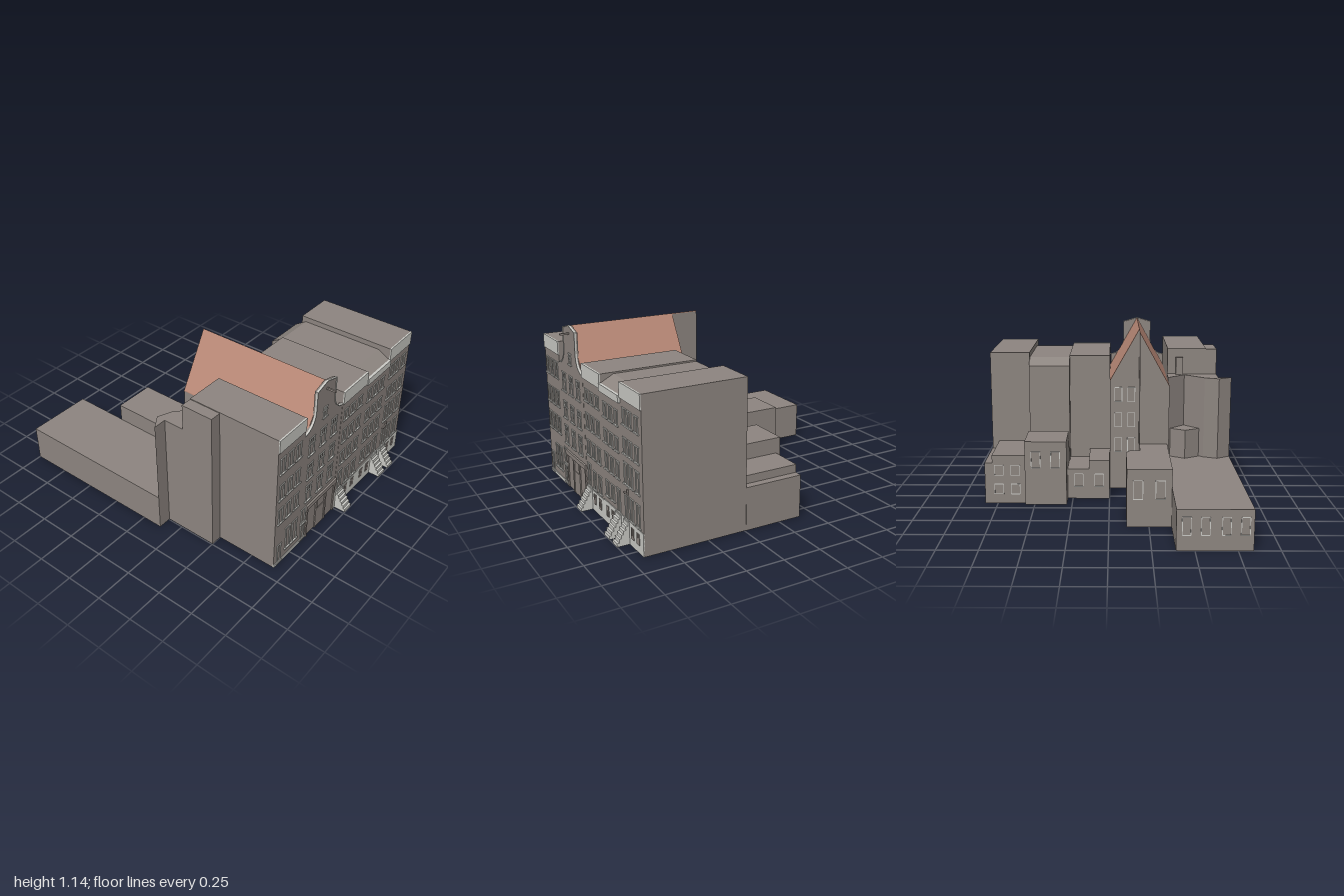
import * as THREE from 'three';

export function createModel() {
  const root = new THREE.Group();
  const mat = (name, color) => Object.assign(new THREE.MeshStandardMaterial({ color }), { name });
  const wall = mat('grey wall', 0x8d8580);
  const trim = mat('light trim', 0xcbcbc6);
  const tile = mat('red roof tile', 0xb88876);

  let parent = root;
  const group = (name) => {
    parent = new THREE.Group();
    parent.name = name;
    root.add(parent);
  };
  const add = (name, geo, m) => {
    const mesh = new THREE.Mesh(geo, m);
    mesh.name = name;
    parent.add(mesh);
    return mesh;
  };
  const box = (name, x0, x1, y0, y1, z0, z1, m = wall) => {
    const g = new THREE.BoxGeometry(x1 - x0, y1 - y0, z1 - z0);
    g.translate((x0 + x1) / 2, (y0 + y1) / 2, (z0 + z1) / 2);
    return add(name, g, m);
  };
  const extrude = (pts, depth) => new THREE.ExtrudeGeometry(
    new THREE.Shape(pts.map(p => new THREE.Vector2(p[0], p[1]))), { depth, bevelEnabled: false });
  // Front outline (x, y) pushed through z
  const frontPrism = (name, pts, z0, z1, m = wall) => add(name, extrude(pts, z1 - z0).translate(0, 0, z0), m);
  // Side outline (z, y) pushed through x
  const sidePrism = (name, pts, x0, x1, m = wall) =>
    add(name, extrude(pts, x1 - x0).rotateY(-Math.PI / 2).translate(x1, 0, 0), m);
  // Plan outline (x, z) raised in y
  const planPrism = (name, pts, y0, y1, m = wall) =>
    add(name, extrude(pts.map(([x, z]) => [x, -z]), y1 - y0).rotateX(-Math.PI / 2).translate(0, y0, 0), m);

  // Street window: jambs, lintel, wide sill and optional glazing bars
  const window_ = (x, y0, y1, w, z, bars = false) => {
    const f = 0.004, d = 0.005;
    for (const s of [-1, 1])
      box('windowJamb', x + s * w / 2 - f, x + s * w / 2 + f, y0, y1, z, z + d, trim);
    box('windowLintel', x - w / 2 - 0.01, x + w / 2 + 0.01, y1 - 0.007, y1, z, z + d, trim);
    box('windowSill', x - w / 2 - 0.015, x + w / 2 + 0.015, y0, y0 + 0.008, z, z + 0.009, trim);
    if (bars) {
      const t = y0 + (y1 - y0) * 0.62;
      box('windowTransom', x - w / 2 - 0.012, x + w / 2 + 0.012, t, t + 0.006, z, z + d, trim);
      box('windowMullion', x - 0.002, x + 0.002, t, y1, z, z + d, trim);
    }
  };
  const windows = (xs, rows, w, z, bars) => {
    for (const [y0, y1] of rows) for (const x of xs) window_(x, y0, y1, w, z, bars);
  };
  // Thin outlined window on a wall facing the back
  const backWindow = (x, y, w, h, z) => {
    const t = 0.002, z0 = z - 0.004;
    for (const s of [-1, 1]) {
      box('rearWindowSide', x + s * w / 2 - t, x + s * w / 2 + t, y - h / 2, y + h / 2, z0, z, trim);
      box('rearWindowRail', x - w / 2, x + w / 2, y + s * h / 2 - t, y + s * h / 2 + t, z0, z, trim);
    }
  };
  const backWindows = (xs, ys, w, h, z) => xs.forEach(x => ys.forEach(y => backWindow(x, y, w, h, z)));

  // Left house with its side bay, lower rear and long low wing
  group('leftHouse');
  box('leftHouseBody', -0.67, -0.403, 0, 0.99, 0.28, 0.915);
  box('leftHouseBay', -0.745, -0.67, 0, 0.985, 0.28, 0.5);
  planPrism('leftHouseRear', [[-0.835, 0.14], [-0.745, 0.14], [-0.745, 0.28], [-0.4, 0.28],
    [-0.4, 0.13], [-0.52, 0.24], [-0.65, 0.12], [-0.745, 0.08]], 0, 0.81);
  planPrism('courtyardInfill', [[-0.62, 0.14], [-0.52, 0.24], [-0.42, 0.14], [-0.52, 0.08]], 0, 0.45);
  box('roofHatch', -0.51, -0.46, 0.8, 0.93, 0.24, 0.28);
  planPrism('lowWing', [[-0.84, -1], [-0.39, -1], [-0.39, 0.28], [-0.745, 0.28], [-0.745, 0.14], [-0.835, 0.14]], 0, 0.25);
  backWindows([-0.79, -0.68, -0.56, -0.45], [0.15], 0.05, 0.11, -1);
  box('leftHouseCornice', -0.67, -0.403, 0.9, 0.991, 0.912, 0.922, trim);
  windows([-0.62, -0.54, -0.46], [[0.725, 0.845], [0.525, 0.645], [0.335, 0.46]], 0.036, 0.915);
  windows([-0.53, -0.46], [[0.07, 0.245]], 0.04, 0.915);
  for (const x of [-0.62, -0.37]) window_(x, 0.01, 0.16, 0.03, 0.915);
  box('leftHousePlinth', -0.67, -0.34, 0, 0.022, 0.91, 0.92, trim);

  // Gabled house: the half behind the ridge runs deeper on one side
  group('gabledHouse');
  const eave = 0.77, ridge = 1.13, r = -0.203;
  frontPrism('gabledHouseDeepHalf', [[-0.403, 0], [r, 0], [r, ridge], [-0.403, eave]], 0, 0.9);
  frontPrism('gabledHouseShortHalf', [[r, 0], [0, 0], [0, eave], [r, ridge]], 0.185, 0.9);
  const t = 0.006;
  frontPrism('roofSlopeLeft', [[-0.403, eave], [r, ridge], [r, ridge + t], [-0.403, eave + t]], 0, 0.9, tile);
  frontPrism('roofSlopeRight', [[0, eave], [0, eave + t], [r, ridge + t], [r, ridge]], 0.185, 0.9, tile);

  // Bell-shaped front gable with a thin light coping
  const half = [];
  for (let i = 0; i <= 8; i++) {
    const a = (i / 8) * Math.PI / 2;
    half.push([0.2 - 0.1 * Math.sin(a), 0.975 - 0.118 * Math.cos(a)]);
  }
  half.push([0.1, 1.107], [0, 1.135]);
  const crown = [...half.map(([x, y]) => [r + x, y]), ...half.slice(0, -1).reverse().map(([x, y]) => [r - x, y])];
  frontPrism('frontGable', [[-0.403, 0], [-0.003, 0], ...crown], 0.895, 0.915);
  for (let i = 0; i < crown.length - 1; i++) {
    const [ax, ay] = crown[i], [bx, by] = crown[i + 1];
    const g = new THREE.BoxGeometry(Math.hypot(bx - ax, by - ay) + 0.003, 0.006, 0.012);
    g.rotateZ(Math.atan2(by - ay, bx - ax)).translate((ax + bx) / 2, (ay + by) / 2, 0.913);
    add('gableCoping', g, trim);
  }
  box('hoistBeam', r - 0.005, r + 0.005, 1.078, 1.09, 0.91, 0.975);
  windows([-0.325, r, -0.085], [[0.67, 0.805], [0.485, 0.607], [0.305, 0.44]], 0.045, 0.915, true);
  window_(r, 0.875, 0.955, 0.024, 0.915, true);
  window_(-0.365, 0.14, 0.27, 0.035, 0.915);

  // Entrance front
  box('entranceLintel', -0.34, 0, 0.236, 0.266, 0.91, 0.928);
  for (const x of [-0.327, -0.22, -0.118, -0.012])
    box('entrancePilaster', x - 0.008, x + 0.008, 0, 0.236, 0.91, 0.923);
  box('entranceDoor', -0.21, -0.13, 0, 0.155, 0.91, 0.92);

  // Rear block behind the gabled house
  planPrism('rearBlock', [[-0.392, -0.608], [-0.11, -0.608], [-0.11, -0.22], [-0.135, -0.165],
    [r, -0.165], [r, 0], [-0.392, 0]], 0, 0.372);
  backWindows([-0.32, -0.18], [0.24], 0.06, 0.12, -0.608);
  backWindows([-0.15, -0.06], [0.32, 0.5, 0.68], 0.05, 0.1, 0.185);

  // Three right-hand houses
  group('rightHouses');
  box('firstHouseBody', 0, 0.282, 0, 0.94, 0.27, 0.915);
  box('firstAnnexTall', 0, 0.14, 0, 0.27, -0.048, 0.27);
  box('firstAnnexLow', 0.14, 0.285, 0, 0.21, -0.048, 0.27);
  backWindows([0.07, 0.21], [0.13], 0.06, 0.09, -0.048);
  sidePrism('secondHouseBody', [[0.915, 0], [0.915, 0.885], [0.83, 0.93], [0.27, 0.93], [0.19, 0.88], [0.19, 0]], 0.28, 0.56);
  box('secondAnnex', 0.285, 0.563, 0, 0.435, -0.182, 0.12);
  box('secondAnnexLink', 0.285, 0.563, 0, 0.3, 0.12, 0.19);
  backWindows([0.36, 0.49], [0.31], 0.06, 0.11, -0.182);
  box('thirdHouseBody', 0.558, 0.832, 0, 0.965, 0.24, 0.915);
  box('thirdAnnexTall', 0.563, 0.785, 0, 0.333, -0.152, 0.24);
  box('thirdAnnexLow', 0.785, 0.835, 0, 0.28, -0.152, 0.24);
  backWindows([0.63, 0.74], [0.1, 0.23], 0.06, 0.07, -0.152);

  // Cornices, plinths and street windows
  box('firstCornice', 0, 0.28, 0.85, 0.941, 0.912, 0.924, trim);
  box('secondCornice', 0.28, 0.558, 0.84, 0.886, 0.912, 0.93, trim);
  box('thirdCornice', 0.558, 0.832, 0.873, 0.966, 0.912, 0.922, trim);
  box('firstPlinth', 0, 0.28, 0, 0.135, 0.912, 0.92, trim);
  box('otherPlinth', 0.28, 0.832, 0, 0.145, 0.912, 0.92, trim);
  windows([0.055, 0.135, 0.22], [[0.705, 0.79], [0.527, 0.635], [0.35, 0.46]], 0.034, 0.915);
  windows([0.135, 0.22], [[0.145, 0.275]], 0.034, 0.915);
  windows([0.335, 0.415, 0.495], [[0.685, 0.785], [0.525, 0.62], [0.355, 0.47]], 0.034, 0.915);
  windows([0.335, 0.415], [[0.18, 0.29]], 0.034, 0.915);
  windows([0.61, 0.68, 0.765], [[0.72, 0.825], [0.545, 0.65], [0.36, 0.5]], 0.036, 0.915);
  windows([0.68, 0.765], [[0.15, 0.3]], 0.036, 0.915);
  for (const x of [0.135, 0.22, 0.335, 0.415, 0.69, 0.765])
    for (const s of [-1, 1])
      box('basementWindow', x + s * 0.01 - 0.008, x + s * 0.01 + 0.008, 0.05, 0.12, 0.918, 0.923);
  for (const x of [0.05, 0.5, 0.61]) window_(x, 0.14, 0.3, 0.034, 0.915);
  box('wallLamp', 0.585, 0.635, 0.305, 0.312, 0.91, 0.925);
  box('wallLampHead', 0.625, 0.635, 0.305, 0.34, 0.91, 0.925);

  // Stoops climbing to the raised doors
  const steps = 6;
  for (const [x0, x1] of [[0.015, 0.09], [0.46, 0.535], [0.58, 0.645]]) {
    const pts = [[0.915, 0], [1, 0]];
    for (let i = 0; i < steps; i++) {
      const z = 1 - (0.085 * i) / steps;
      pts.push([z, (0.14 * (i + 1)) / steps], [z - 0.085 / steps, (0.14 * (i + 1)) / steps]);
    }
    sidePrism('frontStoop', pts, x0, x1, trim);
  }
  return root;
}
